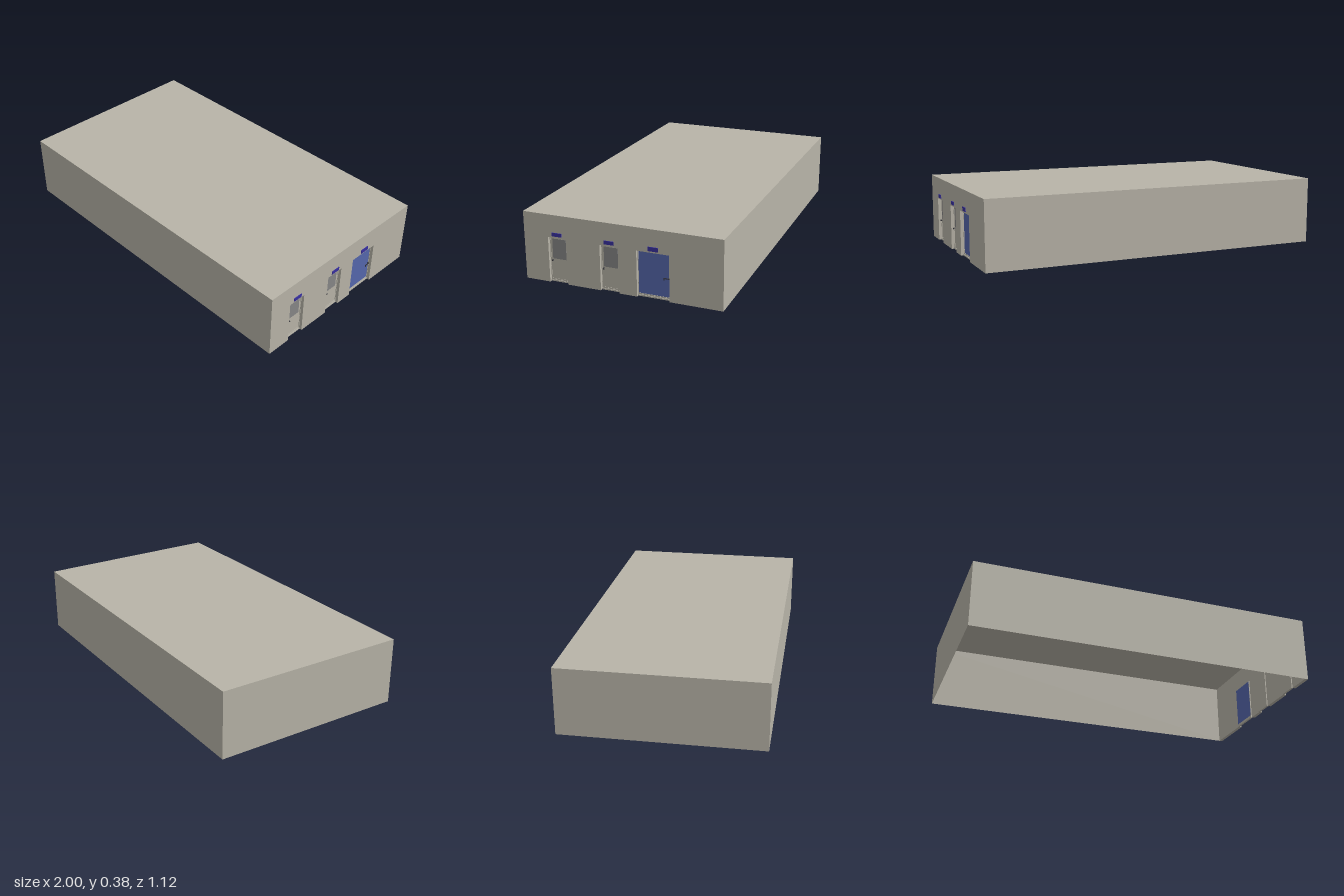
import * as THREE from 'three';

const mat = (name, color, side = THREE.FrontSide) => {
  const m = new THREE.MeshStandardMaterial({ color, side });
  m.name = name;
  return m;
};

export function createModel() {
  const wall = mat('warm grey wall', 0xb8b4a8, THREE.DoubleSide);
  const blue = mat('blue door paint', 0x5567ac);
  const signBlue = mat('sign blue', 0x3830a0);
  const glass = mat('grey glass', 0x868686);
  const dark = mat('dark metal', 0x34343a);

  const model = new THREE.Group();
  model.name = 'building';
  const L = -1, R = 0.996, H = 0.383, D = 0.56, RECESS = 0.02;
  const W = R - L, CX = (R + L) / 2;

  const add = (parent, name, geometry, material, x = 0, y = 0, z = 0) => {
    const mesh = new THREE.Mesh(geometry, material);
    mesh.name = name;
    mesh.position.set(x, y, z);
    parent.add(mesh);
    return mesh;
  };
  // Box given by its ranges on x, y and z
  const block = (parent, name, material, x0, x1, y0, y1, z0, z1) =>
    add(parent, name, new THREE.BoxGeometry(x1 - x0, y1 - y0, z1 - z0), material,
      (x0 + x1) / 2, (y0 + y1) / 2, (z0 + z1) / 2);

  // Thin shell, open underneath
  add(model, 'roof', new THREE.PlaneGeometry(W, 2 * D).rotateX(-Math.PI / 2), wall, CX, H, 0);
  add(model, 'frontWall', new THREE.PlaneGeometry(W, H), wall, CX, H / 2, D);
  add(model, 'backWall', new THREE.PlaneGeometry(W, H).rotateY(Math.PI), wall, CX, H / 2, -D);
  add(model, 'plainEndWall', new THREE.PlaneGeometry(2 * D, H).rotateY(-Math.PI / 2), wall, L, H / 2, 0);

  const doors = [
    { name: 'firstDoor', z0: 0.31, z1: 0.418, sign: 0.364, signTop: 0.285 },
    { name: 'secondDoor', z0: 0.009, z1: 0.117, sign: 0.063, signTop: 0.285 },
    { name: 'wideDoor', z0: -0.27, z1: -0.09, sign: -0.183, signTop: 0.288, wide: true },
  ];
  const top = 0.256;

  // Entrance wall with door notches; shape runs along -z
  const outline = new THREE.Shape();
  outline.moveTo(-D, 0);
  for (const d of doors) {
    outline.lineTo(-d.z1, 0);
    outline.lineTo(-d.z1, top);
    outline.lineTo(-d.z0, top);
    outline.lineTo(-d.z0, 0);
  }
  outline.lineTo(D, 0);
  outline.lineTo(D, H);
  outline.lineTo(-D, H);
  const entrance = new THREE.ExtrudeGeometry(outline, { depth: RECESS, bevelEnabled: false });
  add(model, 'entranceWall', entrance.rotateY(Math.PI / 2), wall, R - RECESS, 0, 0);

  for (const d of doors) {
    const door = new THREE.Group();
    door.name = d.name;
    model.add(door);
    const x = R - RECESS, f = 0.003;

    // Leaf, frame and threshold
    block(door, 'doorLeaf', d.wide ? blue : wall, x - 0.006, x, 0.015, top - f, d.z0 + f, d.z1 - f);
    block(door, 'frameSide', wall, x - 0.006, x + 0.003, 0, top, d.z0, d.z0 + f);
    block(door, 'frameSide', wall, x - 0.006, x + 0.003, 0, top, d.z1 - f, d.z1);
    block(door, 'frameHead', wall, x - 0.006, x + 0.003, top - f, top, d.z0, d.z1);
    block(door, 'threshold', wall, x - 0.006, x + 0.006, 0, 0.008, d.z0, d.z1);
    block(door, 'kickStrip', wall, x - 0.006, x + 0.002, 0.008, 0.015, d.z0 + f, d.z1 - f);

    if (d.wide) {
      // Lever handle
      block(door, 'leverStem', dark, x, x + 0.008, 0.118, 0.124, -0.267, -0.261);
      block(door, 'leverBar', dark, x + 0.005, x + 0.009, 0.119, 0.123, -0.267, -0.235);
      block(door, 'leverTip', dark, x + 0.005, x + 0.009, 0.111, 0.123, -0.238, -0.235);
    } else {
      // Window pane and round knob
      block(door, 'windowPane', glass, x, x + 0.001, 0.13, 0.243, d.z0 + 0.014, d.z1 - 0.014);
      add(door, 'knobStem', new THREE.CylinderGeometry(0.002, 0.002, 0.008, 10).rotateZ(Math.PI / 2),
        dark, x + 0.004, 0.122, d.z1 - 0.015);
      add(door, 'knob', new THREE.SphereGeometry(0.005, 14, 10), dark, x + 0.009, 0.122, d.z1 - 0.015);
    }

    // Blank sign plate above the door
    block(door, 'signPlate', signBlue, R, 1, 0.265, d.signTop, d.sign - 0.028, d.sign + 0.028);
  }
  return model;
}
